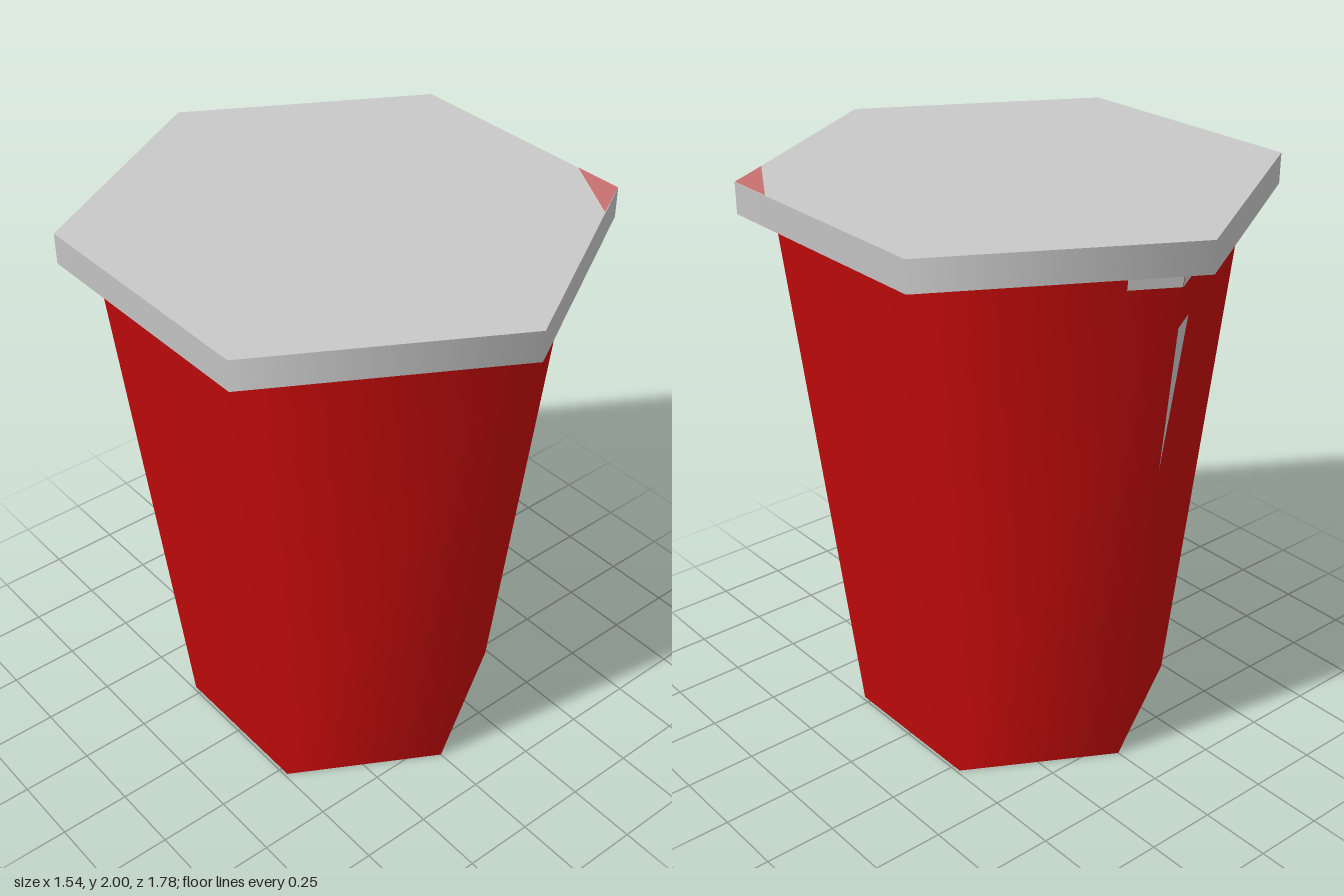
import * as THREE from 'three';

const red = new THREE.MeshStandardMaterial({ name: 'cupRed', color: 0xc80b0b });
const grey = new THREE.MeshStandardMaterial({ name: 'lidGrey', color: 0xc8c8c8 });
const pink = new THREE.MeshStandardMaterial({ name: 'markPink', color: 0xc87070 });

const LID_BOTTOM = 1.895, LID_RADIUS = 0.89;
const TOP_RADIUS = 0.775, BOTTOM_RADIUS = 0.565;

// Point on a back cup wall: t runs from the back corner towards the side corner
function wallPoint(side, t, y) {
  const r = BOTTOM_RADIUS + (TOP_RADIUS - BOTTOM_RADIUS) * y / LID_BOTTOM;
  const lift = 0.002;
  return [side * (0.866 * r * t + lift * 0.5), y, -r * (1 - 0.5 * t) - lift * 0.866];
}

// Thin convex patch, with its corners given counter-clockwise from outside
function patch(points, material, name) {
  const geometry = new THREE.BufferGeometry();
  geometry.setAttribute('position', new THREE.Float32BufferAttribute(points.flat(), 3));
  const index = [];
  for (let i = 1; i < points.length - 1; i++) index.push(0, i, i + 1);
  geometry.setIndex(index);
  geometry.computeVertexNormals();
  const mesh = new THREE.Mesh(geometry, material);
  mesh.name = name;
  return mesh;
}

function hexPrism(topRadius, bottomRadius, y0, y1, material, name) {
  const mesh = new THREE.Mesh(new THREE.CylinderGeometry(topRadius, bottomRadius, y1 - y0, 6), material);
  mesh.position.y = (y0 + y1) / 2;
  mesh.name = name;
  return mesh;
}

export function createModel() {
  const model = new THREE.Group();
  model.name = 'hexagonalCup';

  // Tapered cup and overhanging lid
  model.add(hexPrism(TOP_RADIUS, BOTTOM_RADIUS, 0, LID_BOTTOM, red, 'cup'));
  model.add(hexPrism(LID_RADIUS, LID_RADIUS, LID_BOTTOM, 2, grey, 'lid'));

  // Pink mark on one lid corner
  model.add(patch([[0.62, 2.001, 0.53], [0.77, 2.001, 0.445], [0.77, 2.001, 0.27]], pink, 'lidCornerMark'));

  // Grey marks under the lid on both sides of the back corner
  for (const side of [-1, 1]) {
    const corners = [[0, 1.82], [0.22, 1.82], [0.22, LID_BOTTOM], [0, LID_BOTTOM]]
      .map(([t, y]) => wallPoint(side, t, y));
    if (side > 0) corners.reverse();
    model.add(patch(corners, grey, 'rimMark'));
  }

  // Grey sliver on the back wall
  const sliver = [[0.02, 1.17], [0.17, 1.68], [0.01, 1.68]].map(([t, y]) => wallPoint(-1, t, y));
  model.add(patch(sliver, grey, 'wallSliver'));

  return model;
}
